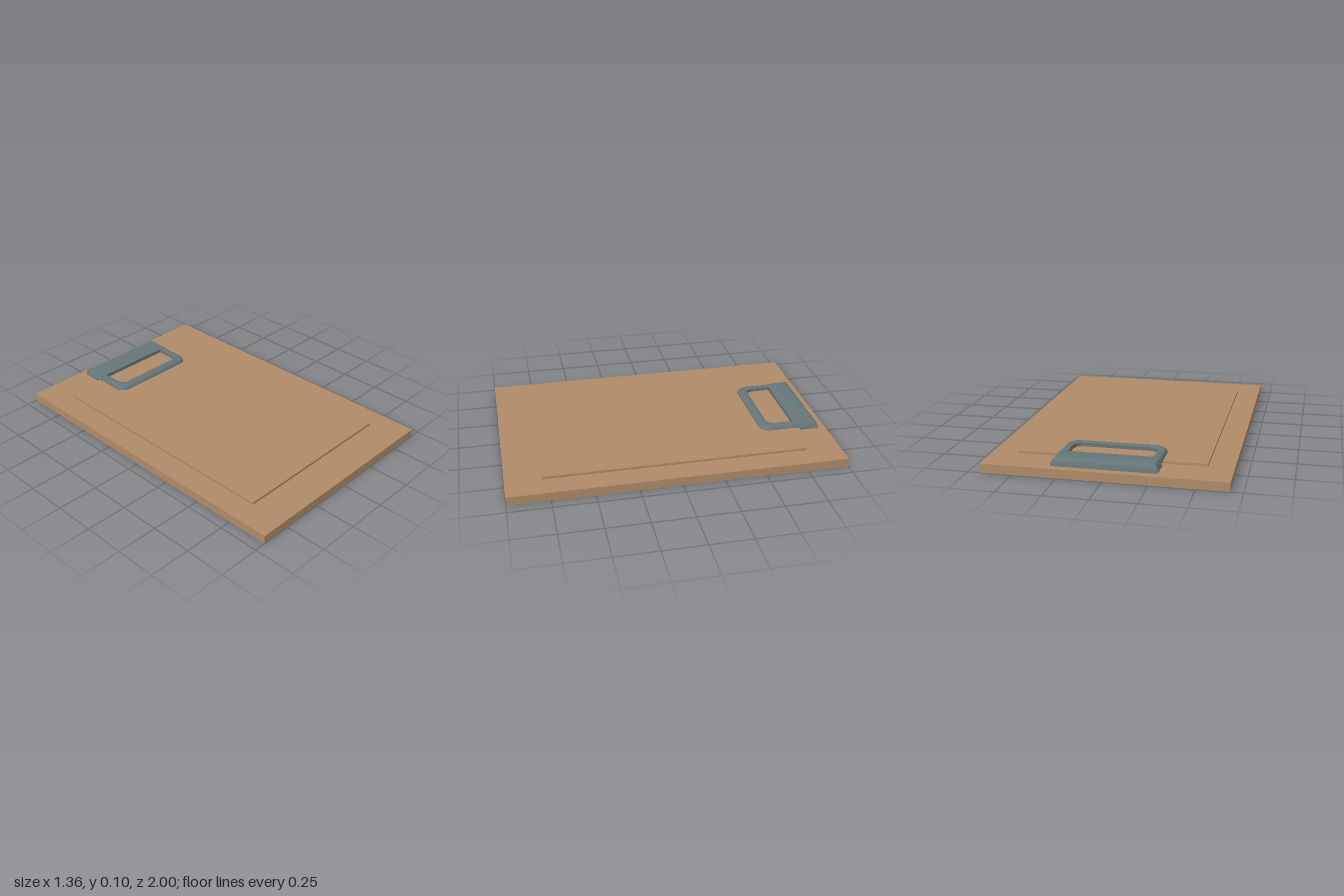
import * as THREE from 'three';
import { toCreasedNormals } from 'three/addons/utils/BufferGeometryUtils.js';

const wood = new THREE.MeshStandardMaterial({ color: 0xb08b68 });
wood.name = 'wood';
const steel = new THREE.MeshStandardMaterial({ color: 0x667678 });
steel.name = 'steel';

function addPart(group, name, geometry, material) {
  const mesh = new THREE.Mesh(geometry, material);
  mesh.name = name;
  group.add(mesh);
  return mesh;
}

// Hinge bar: side profile (z, y) extruded across x, its ends leaning in towards the top
function hingeBar() {
  const profile = [
    [-0.955, 0.052], [-0.84, 0.052], [-0.84, 0.068], [-0.802, 0.068], [-0.802, 0.091],
    [-0.825, 0.092], [-0.845, 0.095], [-0.865, 0.097], [-0.92, 0.097], [-0.935, 0.095],
    [-0.944, 0.088], [-0.95, 0.075],
  ];
  const shape = new THREE.Shape(profile.map(([z, y]) => new THREE.Vector2(z, y)));
  const geo = new THREE.ExtrudeGeometry(shape, { depth: 2, bevelEnabled: false });
  geo.translate(0, 0, -1).rotateY(-Math.PI / 2);
  const pos = geo.attributes.position;
  for (let i = 0; i < pos.count; i++) {
    const lean = Math.max(0, pos.getY(i) - 0.068) / 0.029;
    pos.setX(i, Math.sign(pos.getX(i)) * (0.295 - 0.02 * lean * lean));
  }
  return toCreasedNormals(geo, 0.6);
}

// Outline of the U-shaped frame, running from the back of one arm round to the other
function outline(halfWidth, front, radius, steps) {
  const points = [[-halfWidth, -0.815]];
  for (const side of [-1, 1]) {
    for (let i = 0; i <= steps; i++) {
      const t = (side < 0 ? i / steps : 1 - i / steps) * Math.PI / 2;
      points.push([
        side * (halfWidth - radius + radius * Math.cos(t)),
        front - radius + radius * Math.sin(t),
      ]);
    }
  }
  points.push([halfWidth, -0.815]);
  return points;
}

// Frame: a bevelled section [share of the way from outer to inner edge, y] swept along the U
function frame() {
  const outer = outline(0.291, -0.586, 0.06, 8);
  const inner = outline(0.241, -0.641, 0.05, 8);
  const section = [[0, 0.067], [0.05, 0.076], [0.16, 0.085], [0.38, 0.091],
    [0.9, 0.091], [1, 0.088], [1, 0.067]];
  const n = section.length;
  const positions = [];
  const index = [];
  outer.forEach(([ox, oz], i) => {
    const [ix, iz] = inner[i];
    for (const [s, y] of section) positions.push(ox + (ix - ox) * s, y, oz + (iz - oz) * s);
    if (i === 0) return;
    for (let j = 0; j < n; j++) {
      const k = (j + 1) % n;
      const a = (i - 1) * n + j, b = (i - 1) * n + k, c = i * n + j, d = i * n + k;
      index.push(a, c, b, b, c, d);
    }
  });
  // close the two arm ends
  const last = (outer.length - 1) * n;
  for (let j = 1; j < n - 1; j++) {
    index.push(0, j, j + 1, last, last + j + 1, last + j);
  }
  const geo = new THREE.BufferGeometry();
  geo.setAttribute('position', new THREE.Float32BufferAttribute(positions, 3));
  geo.setIndex(index);
  return toCreasedNormals(geo, 0.65);
}

export function createModel() {
  const model = new THREE.Group();
  model.name = 'clipboard';

  // Backing board and the raised sheet on top of it
  addPart(model, 'board', new THREE.BoxGeometry(1.364, 0.052, 2), wood).position.y = 0.026;
  addPart(model, 'sheet', new THREE.BoxGeometry(1.076, 0.015, 1.575), wood)
    .position.set(0, 0.0595, -0.002);

  // Metal clip
  const clip = new THREE.Group();
  clip.name = 'clip';
  addPart(clip, 'hingeBar', hingeBar(), steel);
  addPart(clip, 'clipFrame', frame(), steel);
  model.add(clip);
  return model;
}
